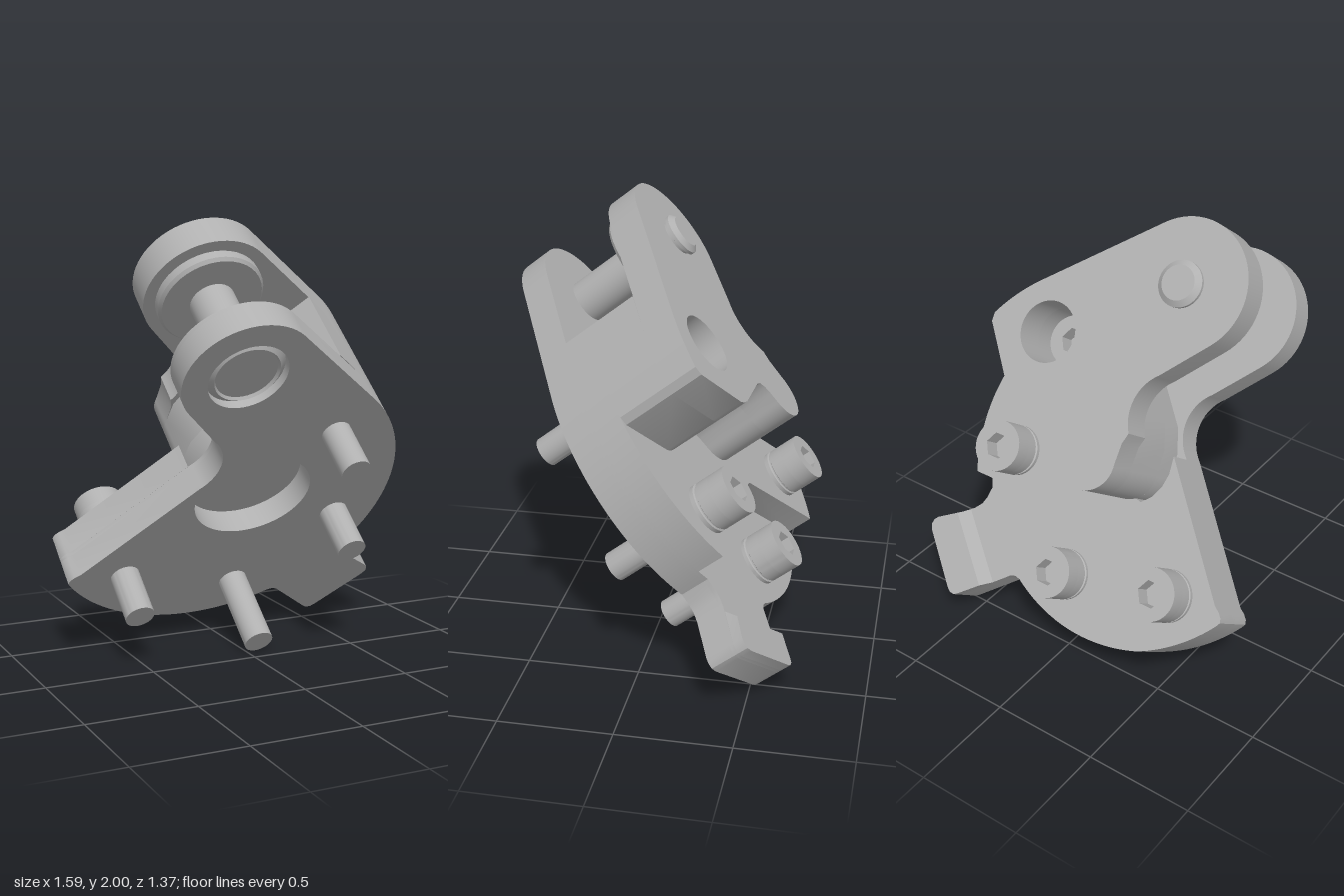
import * as THREE from 'three';
import { toCreasedNormals } from 'three/addons/utils/BufferGeometryUtils.js';

// Local frame: x across, y up the plate, depth w measured backwards from the front face (z = -w).
const steel = new THREE.MeshStandardMaterial({ color: 0xb0b0b0 });
steel.name = 'grey steel';

const DISC = [-0.14, 0.594, 0.808], LUG = [-0.27, 1.387, 0.29], LOBE = [-0.14, 0.575, 0.132];
const NECK = [-0.445, 0.853, 0.2];

// Sampled arc, angles in degrees
function arc([cx, cy, r], a0, a1, n = 24) {
  const pts = [];
  for (let i = 0; i <= n; i++) {
    const a = THREE.MathUtils.degToRad(a0 + (a1 - a0) * i / n);
    pts.push([cx + r * Math.cos(a), cy + r * Math.sin(a)]);
  }
  return pts;
}
const circle = (x, y, r, n = 48, ry = r) =>
  arc([0, 0, 1], 0, 360 - 360 / n, n - 1).map(([a, b]) => [x + a * r, y + b * ry]);
const vecs = (pts) => pts.map(([x, y]) => new THREE.Vector2(x, y));

function add(group, name, geometry) {
  const mesh = new THREE.Mesh(toCreasedNormals(geometry, 0.5), steel);
  mesh.name = name;
  group.add(mesh);
  return mesh;
}

// Slab between depths w0 (front) and w1 (back)
function slab(outline, w0, w1, holes = []) {
  const shape = new THREE.Shape(vecs(outline));
  for (const h of holes) shape.holes.push(new THREE.Path(vecs(h)));
  const g = new THREE.ExtrudeGeometry(shape, { depth: w1 - w0, bevelEnabled: false });
  return g.translate(0, 0, -w1);
}

// Turned part from [radius, depth] pairs, listed from back to front
function turned(profile, x, y) {
  const g = new THREE.LatheGeometry(profile.map(([r, w]) => new THREE.Vector2(r, -w)), 40);
  return g.rotateX(Math.PI / 2).translate(x, y, 0);
}

// Socket head bolt; w is the depth of its top face
function bolt(group, name, x, y, w) {
  const b = new THREE.Group();
  b.name = name;
  const hex = circle(x, y, 0.06, 6);
  add(b, 'socketHead', slab(circle(x, y, 0.115, 40), w - 0.08, w, [hex]));
  add(b, 'shank', turned([
    [0, w - 0.08], [0.115, w - 0.08], [0.115, w - 0.142], [0.107, w - 0.146], [0.107, w - 0.152],
    [0.115, w - 0.156], [0.115, w - 0.18], [0.067, w - 0.18], [0.067, w - 0.68], [0, w - 0.68],
  ], x, y));
  group.add(b);
}

export function createModel() {
  const root = new THREE.Group();
  root.name = 'pivotBracket';
  const body = new THREE.Group();
  body.name = 'tiltedBracket';
  root.add(body);

  const lugArc = arc(LUG, 50.2, 222.5, 32);
  const leftCorner = [[-0.75, 0.185], [-0.775, 0.168], [-0.793, 0.148], [-0.798, 0.128]];
  const tabTip = [[0.52, -0.285], [0.54, -0.298], [0.565, -0.296], [0.585, -0.28],
    [0.782, -0.07], [0.795, -0.045], [0.79, -0.02], [0.775, -0.002]];

  // Front plate: disc, lug and tab in one outline
  const plate = [
    ...lugArc,
    ...arc(NECK, 50, -47, 20),
    ...leftCorner,
    ...arc(DISC, 217, 300, 30),
    [0.29, -0.1], [0.315, -0.108], [0.34, -0.13],
    ...tabTip,
    [0.63, 0.105], [0.6, 0.14], [0.587, 0.175],
    ...arc(DISC, -27, 50.2, 30),
  ];
  const window1 = circle(-0.028, 0.628, 0.277, 56, 0.245);
  add(body, 'frontPlate', slab(plate, 0, 0.12, [window1, circle(LUG[0], LUG[1], 0.177)]));
  add(body, 'plateBacking', slab(plate, 0.12, 0.14));

  // Raised tab pad with a ramp on its inner edge
  const pad = slab([[0.39, -0.173], ...tabTip, [0.645, 0.09]], 0.138, 0.187);
  const p = pad.attributes.position;
  for (let i = 0; i < p.count; i++) {
    const d = 0.72 * p.getX(i) - 0.69 * p.getY(i);
    if (d < 0.42 && p.getZ(i) < -0.16) p.setXY(i, p.getX(i) + 0.036, p.getY(i) - 0.034);
  }
  add(body, 'tabPad', pad);

  // Raised layer with the channel beside the pivot lobe and the step above the tab
  const wallTop = [0.23, 1.345], wallFoot = [-0.215, 0.82];
  const lobeSide = [[-0.262, 0.71], ...arc(LOBE, 170, 235, 10)];
  add(body, 'raisedLayer', slab([
    ...arc(DISC, -22.5, 50.2, 30),
    wallTop, wallFoot, ...lobeSide,
    [-0.245, 0.46], [-0.285, 0.5], [-0.315, 0.56], [-0.325, 0.62], [-0.315, 0.7],
    ...leftCorner,
    ...arc(DISC, 217, 243, 12),
    [-0.16, 0.28], [-0.14, 0.29],
  ], 0.14, 0.27));

  // Rear block: lobe side shared by the core and the rear lug
  const blockRight = [
    ...arc(LOBE, 170, 355, 30),
    [-0.002, 0.62], [0.008, 0.66], [0.03, 0.69], [0.066, 0.702],
    [0.31, 0.715], [0.345, 0.724], [0.375, 0.742],
    [0.555, 0.964],
    ...arc(DISC, 30.5, 50.2, 12),
  ];
  const bore = circle(0.265, 1.008, 0.136);
  add(body, 'blockCore', slab([wallTop, wallFoot, [-0.262, 0.71], ...blockRight], 0.27, 0.514, [bore]));
  add(body, 'rearLug', slab([
    ...lugArc, ...arc(NECK, 50, -35, 18), [-0.268, 0.69], ...blockRight,
  ], 0.514, 0.664, [bore]));

  // Hinge pin with collar, rear button and front head
  add(body, 'hingePin', turned([
    [0, 0.715], [0.075, 0.715], [0.1, 0.695], [0.1, 0.68], [0.085, 0.675], [0.085, 0.53],
    [0.237, 0.53], [0.237, 0.475], [0.225, 0.46], [0.1, 0.46], [0.1, 0.125],
    [0.176, 0.125], [0.176, 0.04], [0.145, 0.012], [0.137, 0.025], [0, 0.025],
  ], LUG[0], LUG[1]));

  // Four bolts; the one below the step sits deeper
  bolt(body, 'leftBolt', -0.53, 0.14, 0.445);
  bolt(body, 'lowerBolt', 0.045, 0.01, 0.312);
  bolt(body, 'sideBolt', 0.44, 0.45, 0.445);
  bolt(body, 'boreBolt', 0.265, 1.008, 0.445);

  body.rotation.x = THREE.MathUtils.degToRad(38);
  body.position.set(0, 0.272, -0.348);
  return root;
}
